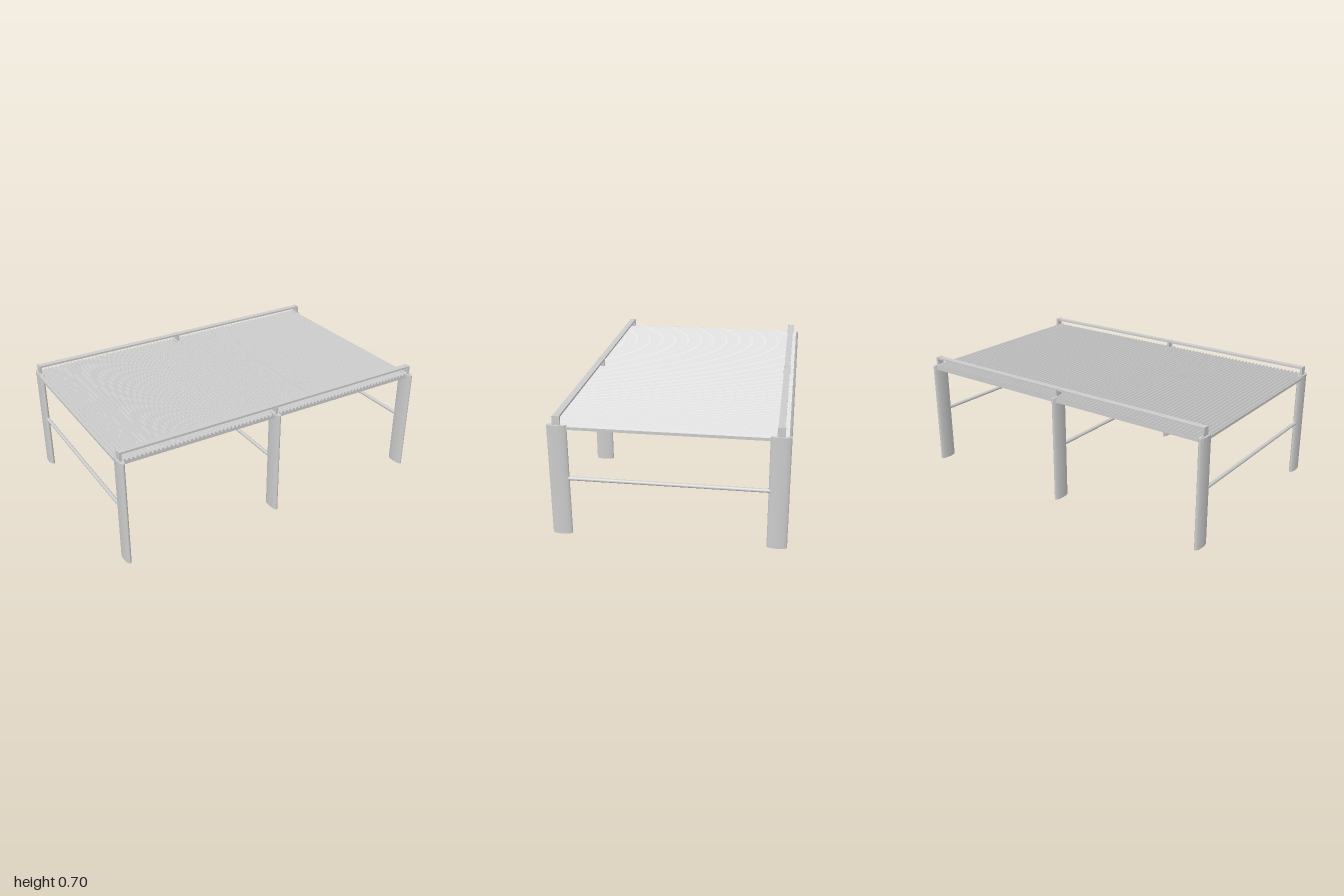
import * as THREE from 'three';

const material = new THREE.MeshStandardMaterial({ color: 0xcccccc });

const LEG_X = [-0.98, -0.01, 0.98];
const SIDES = [1, -1];
const LEG_Z = 0.59;
const LEG_H = 0.645;

function add(parent, name, geometry, x, y, z) {
  const mesh = new THREE.Mesh(geometry, material);
  mesh.name = name;
  mesh.position.set(x, y, z);
  parent.add(mesh);
  return mesh;
}

// Flat-bottomed sheet with rounded ridges running front to back
function deckGeometry(x0, x1, z0, z1) {
  const ridges = 80, steps = 8, base = 0.62, valley = 0.636, crest = 0.652;
  const shape = new THREE.Shape();
  shape.moveTo(x0, base);
  shape.lineTo(x1, base);
  const n = ridges * steps;
  for (let i = n; i >= 0; i--) {
    const wave = 0.5 - 0.5 * Math.cos((i / steps) * Math.PI * 2);
    shape.lineTo(x0 + ((x1 - x0) * i) / n, valley + (crest - valley) * wave);
  }
  shape.closePath();
  const geometry = new THREE.ExtrudeGeometry(shape, { depth: z1 - z0, bevelEnabled: false });
  return geometry.translate(0, 0, z0);
}

export function createModel() {
  const model = new THREE.Group();
  model.name = 'corrugatedPlatform';

  add(model, 'deck', deckGeometry(-0.995, 0.985, -0.63, 0.61), 0, 0, 0);

  // Oval legs
  const legGeometry = new THREE.CylinderGeometry(1, 1, LEG_H, 40).scale(0.018, 1, 0.055);
  // Low posts that carry the rails
  const postGeometry = new THREE.BoxGeometry(0.014, 0.06, 0.042);
  // Round cross braces between opposite legs
  const braceGeometry = new THREE.CylinderGeometry(0.011, 0.011, 1.1, 20).rotateX(Math.PI / 2);

  for (const x of LEG_X) {
    for (const side of SIDES) {
      add(model, 'leg', legGeometry, x, LEG_H / 2, side * LEG_Z);
      add(model, 'railPost', postGeometry, x, 0.666, side * LEG_Z);
    }
    add(model, 'crossBrace', braceGeometry, x, 0.335, 0);
  }

  // Flat rails along the front and back edges
  const railGeometry = new THREE.BoxGeometry(1.97, 0.012, 0.036);
  for (const side of SIDES) add(model, 'rail', railGeometry, 0, 0.689, side * LEG_Z);

  return model;
}
